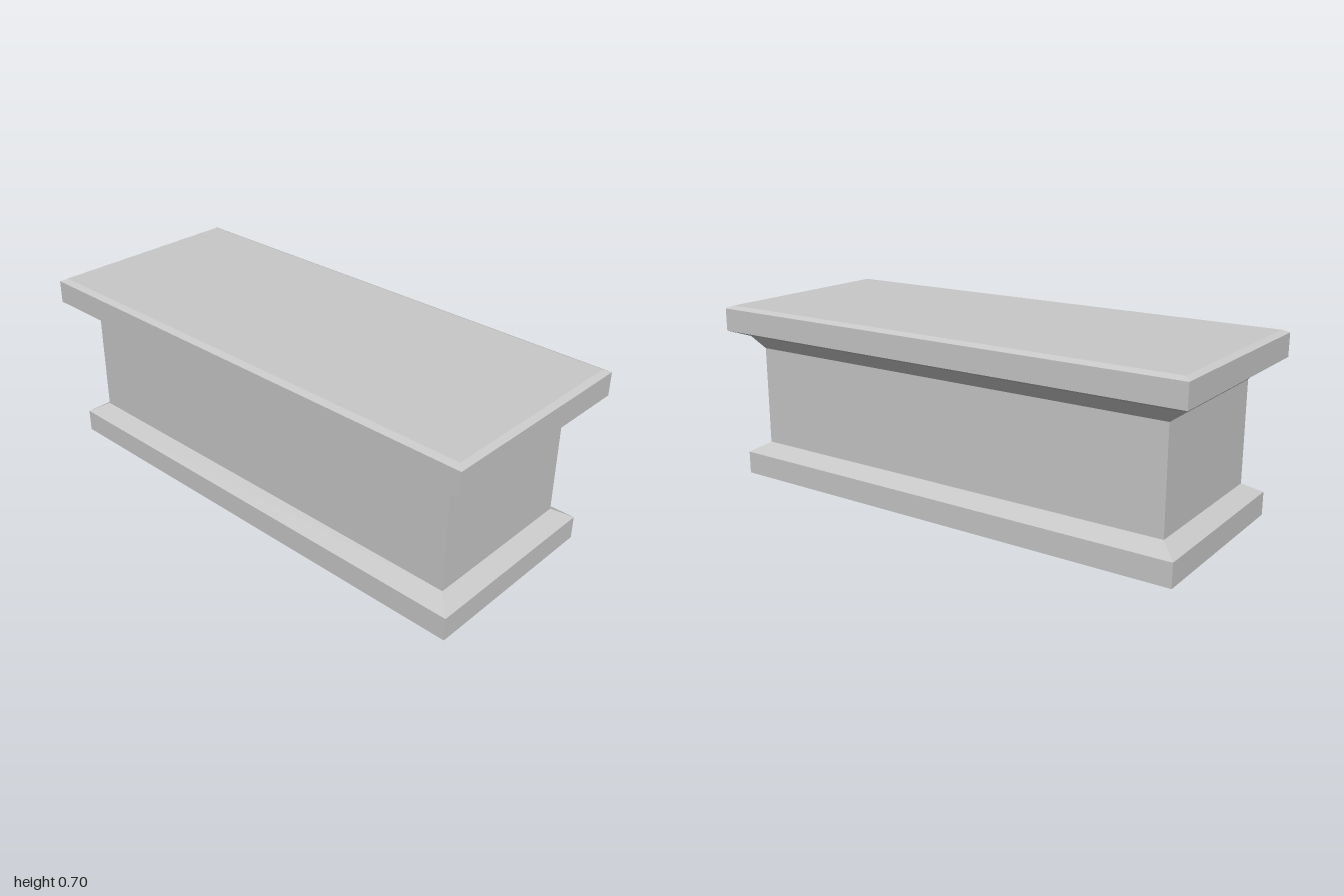
import * as THREE from 'three';

// Rectangular rings [y, halfWidth, halfDepth] joined by flat faces, with optional end caps
function loft(rings, { bottom = false, top = false } = {}) {
  const pos = [];
  const corners = ([y, w, d]) => [[-w, y, d], [w, y, d], [w, y, -d], [-w, y, -d]];
  const quad = (a, b, c, d) => pos.push(...a, ...b, ...c, ...a, ...c, ...d);
  const loops = rings.map(corners);
  for (let i = 0; i < loops.length - 1; i++) {
    const lo = loops[i], hi = loops[i + 1];
    for (let k = 0; k < 4; k++) {
      const n = (k + 1) % 4;
      quad(lo[k], lo[n], hi[n], hi[k]);
    }
  }
  if (bottom) quad(...[...loops[0]].reverse());
  if (top) quad(...loops[loops.length - 1]);
  const geo = new THREE.BufferGeometry();
  geo.setAttribute('position', new THREE.Float32BufferAttribute(pos, 3));
  geo.computeVertexNormals();
  return geo;
}

export function createModel() {
  const group = new THREE.Group();
  group.name = 'pedestal';
  const stone = new THREE.MeshStandardMaterial({ color: 0xc8c8c8 });
  stone.name = 'grey stone';

  const add = (name, rings, caps) => {
    const mesh = new THREE.Mesh(loft(rings, caps), stone);
    mesh.name = name;
    group.add(mesh);
  };

  // Foot with a sloped upper edge
  add('plinth', [[0, 0.96, 0.384], [0.091, 0.96, 0.384], [0.13, 0.895, 0.32]], { bottom: true });
  // Plain block
  add('body', [[0.13, 0.895, 0.32], [0.527, 0.895, 0.32]]);
  // Two-step flare under the top
  add('cornice', [[0.527, 0.895, 0.32], [0.579, 0.935, 0.358], [0.604, 1, 0.422]]);
  // Slab with a small bevel
  add('topSlab', [[0.604, 1, 0.422], [0.694, 1, 0.422], [0.705, 0.977, 0.399]], { top: true });

  return group;
}
